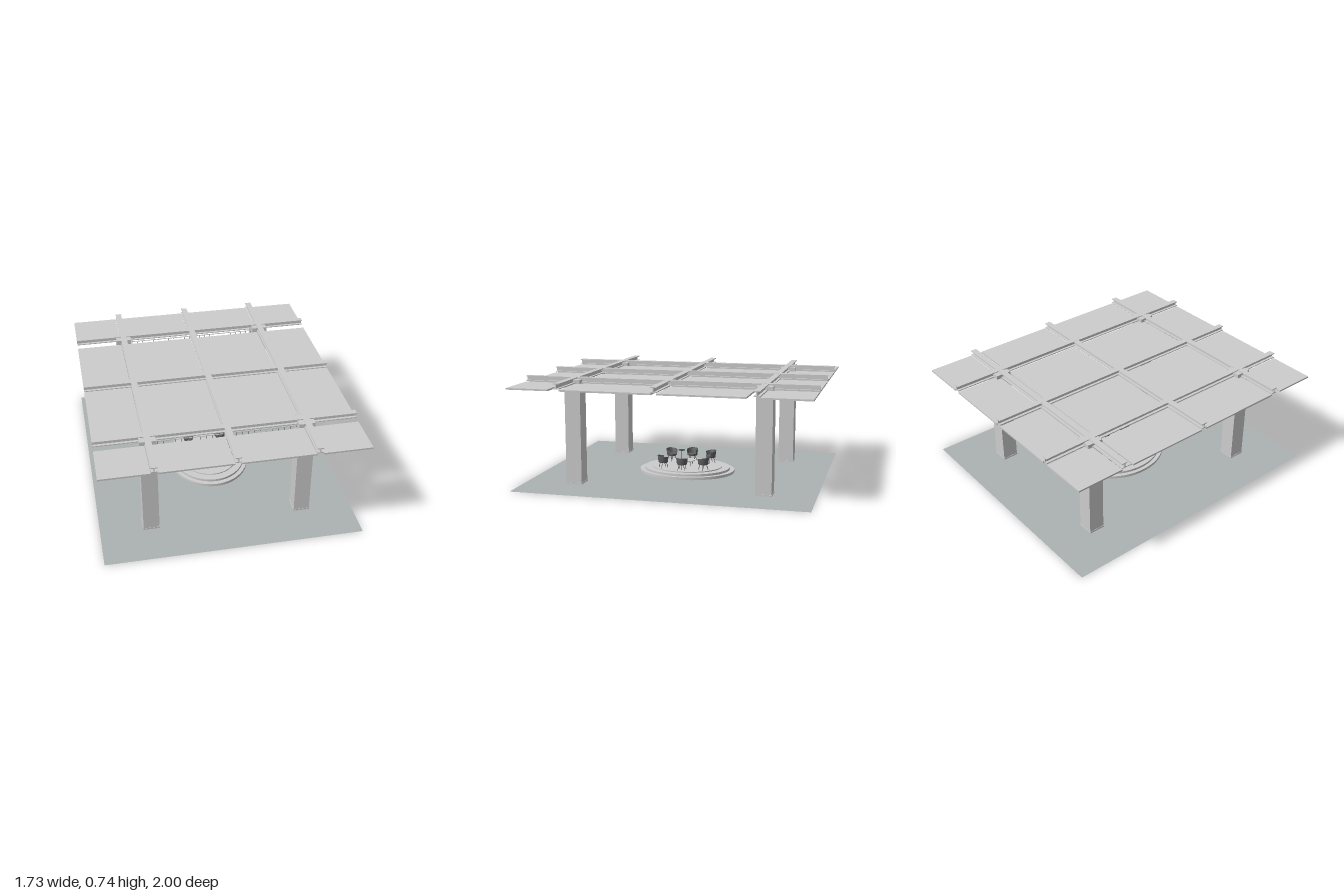
import * as THREE from 'three';

const mat = (name, color, side = THREE.FrontSide) => {
  const m = new THREE.MeshStandardMaterial({ color, side });
  m.name = name;
  return m;
};

export function createModel() {
  const concrete = mat('pale concrete', 0xcccccc);
  const paving = mat('grey paving', 0xacb1b1, THREE.DoubleSide);
  const upholstery = mat('dark upholstery', 0x606060, THREE.DoubleSide);
  const metal = mat('dark metal', 0x505050);
  const root = new THREE.Group();
  root.name = 'pavilion';

  const add = (parent, name, geo, material, x = 0, y = 0, z = 0) => {
    const m = new THREE.Mesh(geo, material);
    m.name = name;
    m.position.set(x, y, z);
    parent.add(m);
    return m;
  };
  // Box given by its limits on each axis
  const block = (parent, name, material, [x0, x1], [y0, y1], [z0, z1]) =>
    add(parent, name, new THREE.BoxGeometry(x1 - x0, y1 - y0, z1 - z0), material,
      (x0 + x1) / 2, (y0 + y1) / 2, (z0 + z1) / 2);
  // Round bar between two points
  const bar = (parent, name, material, a, b, r) => {
    const p = new THREE.Vector3(...a), q = new THREE.Vector3(...b);
    const m = add(parent, name, new THREE.CylinderGeometry(r, r, p.distanceTo(q), 8), material);
    m.position.copy(p).lerp(q, 0.5);
    m.quaternion.setFromUnitVectors(new THREE.Vector3(0, 1, 0), q.sub(p).normalize());
  };

  // Ground
  add(root, 'ground', new THREE.PlaneGeometry(1.73, 2).rotateX(-Math.PI / 2), paving);

  // Columns with shallow base plates
  for (const x of [-0.52, 0.52]) for (const z of [-0.655, 0.655]) {
    block(root, 'column', concrete, [x - 0.054, x + 0.054], [0.001, 0.722], [z - 0.055, z + 0.055]);
    block(root, 'columnBase', concrete, [x - 0.057, x + 0.057], [0.001, 0.012], [z - 0.057, z + 0.057]);
  }

  // I-section roof beams in both directions
  const w = 0.021, t = 0.003, h = 0.037, f = 0.006;
  const section = new THREE.Shape([
    [-w, 0], [w, 0], [w, f], [t, f], [t, h - f], [w, h - f],
    [w, h], [-w, h], [-w, h - f], [-t, h - f], [-t, f], [-w, f],
  ].map(p => new THREE.Vector2(...p)));
  const beamGeo = length => new THREE.ExtrudeGeometry(section, { depth: length, bevelEnabled: false })
    .translate(0, 0, -length / 2);
  for (const x of [-0.52, 0, 0.52]) add(root, 'longBeam', beamGeo(2), concrete, x, 0.699, 0);
  for (const z of [-0.655, 0, 0.65]) {
    add(root, 'crossBeam', beamGeo(1.73).rotateY(Math.PI / 2), concrete, 0, 0.6985, z);
  }

  // Ceiling panels between the beams
  const spansX = [[-0.865, -0.542], [-0.499, -0.021], [0.021, 0.499], [0.542, 0.865]];
  const spansZ = [[-1, -0.676], [-0.59, -0.02], [0.016, 0.632], [0.71, 1]];
  for (const sx of spansX) for (const sz of spansZ) {
    block(root, 'ceilingPanel', concrete, sx, [0.684, 0.695], sz);
  }

  // Open ladder frames around the central bay, built along x
  const frame = length => {
    const g = new THREE.Group();
    g.name = 'ladderFrame';
    const e = length / 2, d = 0.02, r = 0.002;
    for (const z of [-d, d]) for (const y of [0.663, 0.689]) {
      block(g, 'rail', concrete, [-e, e], [y - r, y + r], [z - r, z + r]);
    }
    const n = Math.round(length / 0.04);
    for (let i = 0; i <= n; i++) {
      const x = -e + (length * i) / n;
      for (const z of [-d, d]) block(g, 'post', metal, [x - 0.001, x + 0.001], [0.663, 0.689], [z - 0.001, z + 0.001]);
      block(g, 'slat', metal, [x - 0.001, x + 0.001], [0.661, 0.664], [-d, d]);
    }
    root.add(g);
    return g;
  };
  for (const s of [-1, 1]) {
    for (const z of [-0.612, 0.69]) frame(0.435).position.set(s * 0.238, 0, z);
    for (const x of [-0.435, 0.435]) {
      const g = frame(0.56);
      g.position.set(x, 0, s * 0.3);
      g.rotation.y = Math.PI / 2;
    }
  }

  // Oval stepped platform
  for (const [rx, rz, y0, y1] of [[0.287, 0.345, 0.001, 0.02], [0.262, 0.312, 0.02, 0.036], [0.215, 0.255, 0.036, 0.043]]) {
    add(root, 'platformStep', new THREE.CylinderGeometry(1, 1, y1 - y0, 64), concrete, 0, (y0 + y1) / 2, 0)
      .scale.set(rx, 1, rz);
  }

  // Tub chairs, backs turned outwards
  const profile = [[0.031, 0.04], [0.036, 0.041], [0.042, 0.09], [0.037, 0.09], [0.031, 0.04]]
    .map(p => new THREE.Vector2(...p));
  const shellGeo = new THREE.LatheGeometry(profile, 20, -0.15 * Math.PI, 1.3 * Math.PI);
  const pos = shellGeo.attributes.position;
  for (let i = 0; i < pos.count; i++) {
    if (pos.getY(i) > 0.06) pos.setY(i, 0.084 + 0.18 * pos.getX(i)); // arms slope down to the front
  }
  shellGeo.computeVertexNormals();
  for (const [x, z] of [[0.155, 0], [-0.155, 0], [0.118, 0.147], [-0.118, 0.147], [0.118, -0.147], [-0.118, -0.147]]) {
    const chair = new THREE.Group();
    chair.name = 'chair';
    add(chair, 'shell', shellGeo, upholstery);
    add(chair, 'seat', new THREE.CylinderGeometry(0.034, 0.031, 0.014, 20), upholstery, 0, 0.046, 0);
    for (const a of [-1, 1]) for (const b of [-1, 1]) {
      bar(chair, 'chairLeg', metal, [a * 0.016, 0.04, b * 0.016], [a * 0.025, 0, b * 0.025], 0.002);
    }
    chair.position.set(x, 0.043, z);
    chair.rotation.y = Math.atan2(-z, x);
    root.add(chair);
  }

  // Low round table
  add(root, 'tableTop', new THREE.CylinderGeometry(0.05, 0.05, 0.005, 32), concrete, 0, 0.08, 0).scale.z = 1.15;
  for (const a of [-1, 1]) for (const b of [-1, 1]) {
    bar(root, 'tableLeg', metal, [a * 0.025, 0.078, b * 0.025], [a * 0.034, 0.043, b * 0.034], 0.002);
  }

  // Slim standing lamp
  bar(root, 'lampPole', metal, [0.16, 0.043, 0], [0.16, 0.188, 0], 0.003);
  add(root, 'lampTop', new THREE.CylinderGeometry(0.022, 0.022, 0.005, 24), metal, 0.16, 0.189, 0);
  return root;
}
